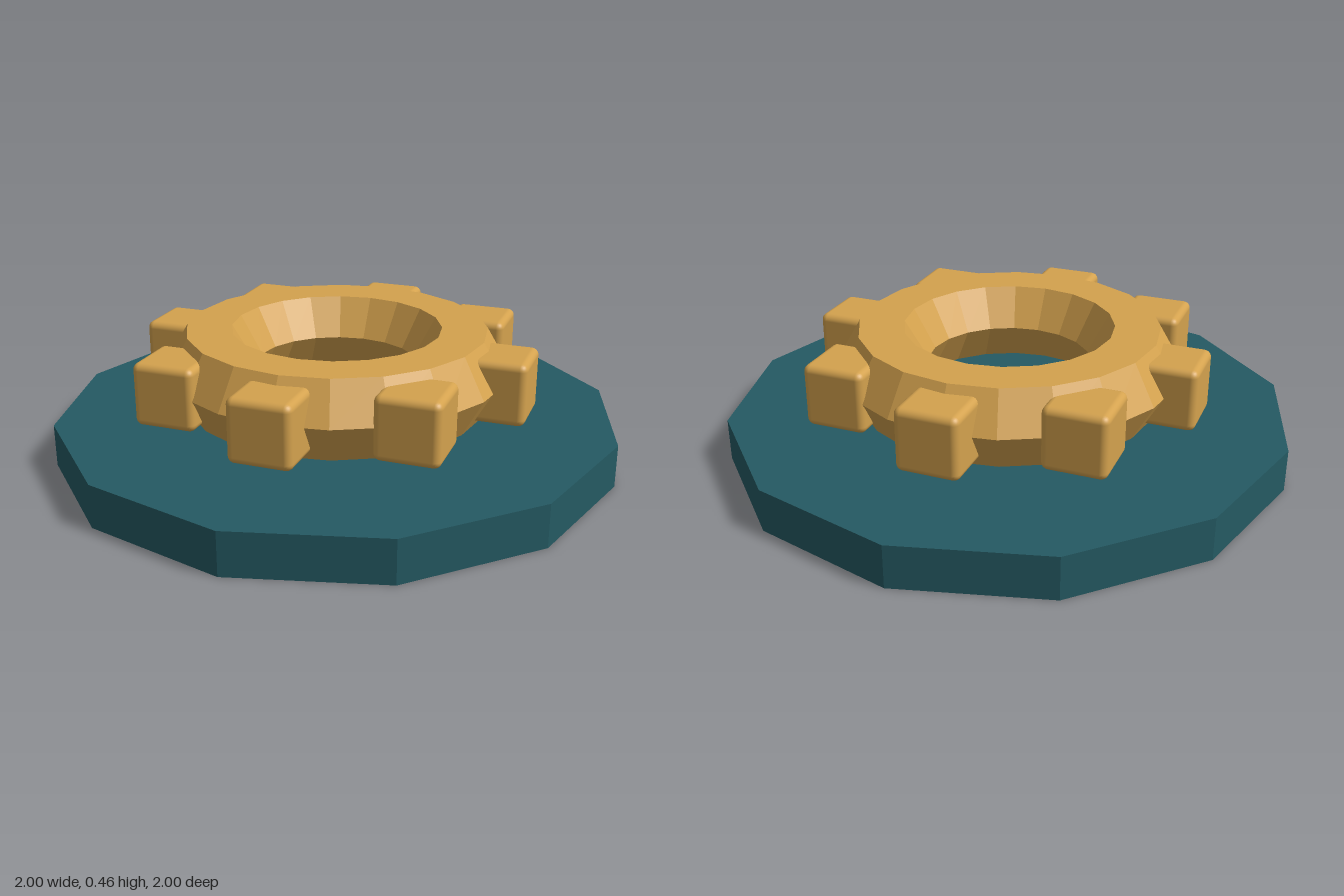
import * as THREE from 'three';
import { RoundedBoxGeometry } from 'three/addons/geometries/RoundedBoxGeometry.js';

export function createModel() {
  const model = new THREE.Group();
  model.name = 'gearOnPlinth';

  const teal = new THREE.MeshStandardMaterial({ color: 0x255a63 });
  teal.name = 'teal';
  const gold = new THREE.MeshStandardMaterial({ color: 0xd4a24e });
  gold.name = 'gold';

  const add = (name, geometry, material, parent, x, y, z) => {
    const mesh = new THREE.Mesh(geometry, material);
    mesh.name = name;
    mesh.position.set(x, y, z);
    parent.add(mesh);
    return mesh;
  };
  // Unshared vertices with face normals give a faceted look
  const faceted = (geometry) => {
    const flat = geometry.toNonIndexed();
    flat.computeVertexNormals();
    return flat;
  };

  // Twelve-sided plinth
  add('plinth', faceted(new THREE.CylinderGeometry(1, 1, 0.15, 12)), teal, model, 0, 0.075, 0);

  // Gear floating just above the plinth
  const gear = new THREE.Group();
  gear.name = 'gear';
  gear.position.y = 0.32;
  model.add(gear);

  // Ring with a hexagonal cross-section
  const ring = new THREE.TorusGeometry(0.45, 0.16, 6, 20).rotateX(Math.PI / 2);
  add('gearRing', faceted(ring), gold, gear, 0, 0, 0);

  // Eight softened cubes, all square to the axes
  const tooth = new RoundedBoxGeometry(0.22, 0.22, 0.22, 3, 0.025);
  for (let i = 0; i < 8; i++) {
    const a = (i * Math.PI) / 4;
    add(`gearTooth${i + 1}`, tooth, gold, gear, 0.59 * Math.cos(a), 0, 0.59 * Math.sin(a));
  }

  return model;
}
